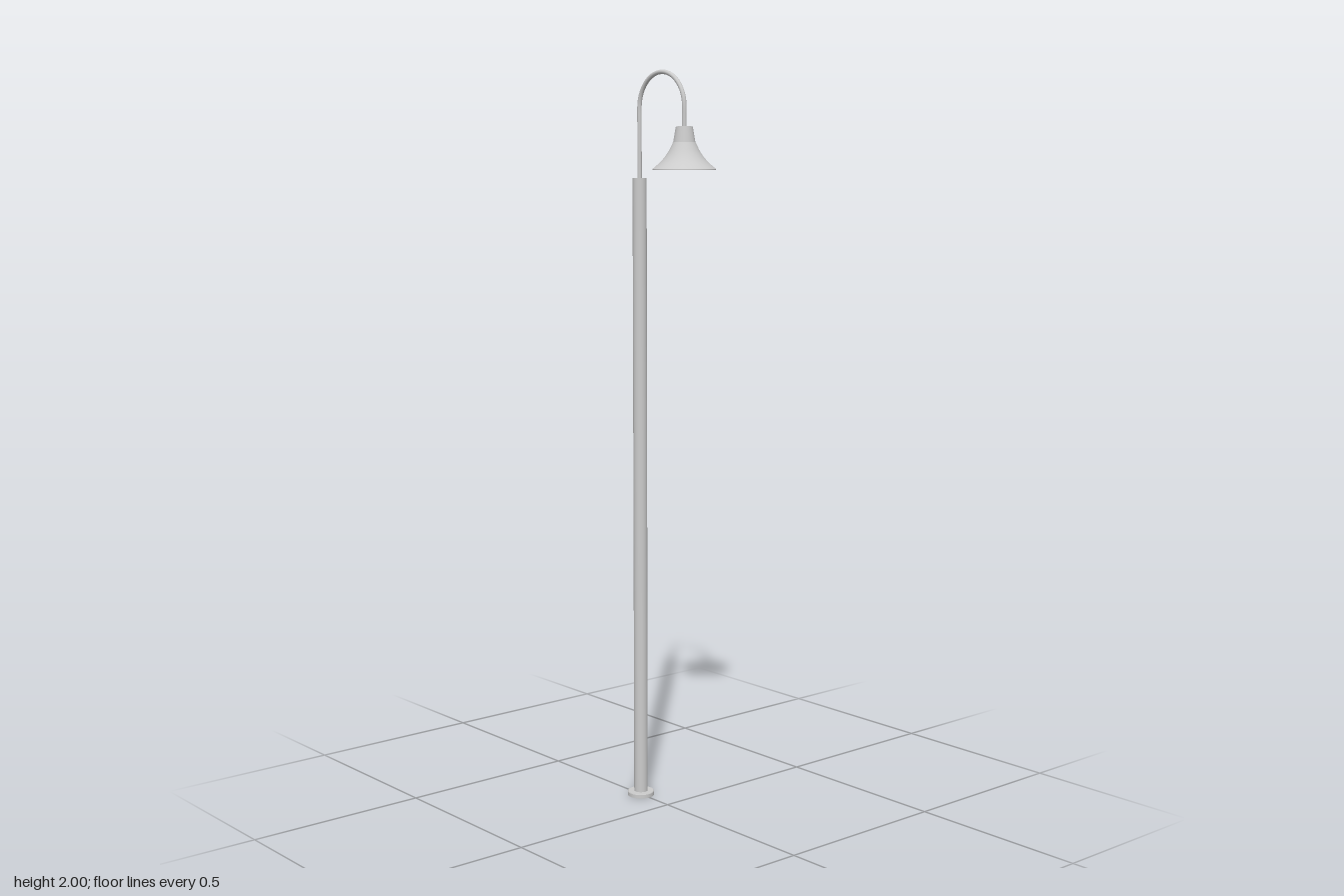
import * as THREE from 'three';

const POLE_X = -0.115, LAMP_X = 0.067, SEG = 32;

// Lathe from [radius, y] points; repeated points keep an edge crisp
function lathe(points) {
  return new THREE.LatheGeometry(points.map(([r, y]) => new THREE.Vector2(r, y)), SEG);
}

export function createModel() {
  const model = new THREE.Group();
  const solid = new THREE.MeshStandardMaterial({ color: 0xcccccc });
  const thin = new THREE.MeshStandardMaterial({ color: 0xcccccc, side: THREE.DoubleSide });

  function add(name, geometry, x, y, material = solid) {
    const mesh = new THREE.Mesh(geometry, material);
    mesh.name = name;
    mesh.position.set(x, y, 0);
    model.add(mesh);
    return mesh;
  }

  // Hollow foot flange and the pole standing in it
  add('baseFlange', lathe([
    [0.037, 0], [0.037, 0.01], [0.037, 0.01], [0.036, 0.012], [0.036, 0.012], [0.018, 0.012],
  ]), POLE_X, 0, thin);
  add('pole', new THREE.CylinderGeometry(0.019, 0.019, 1.716, SEG), POLE_X, 0.86);

  // Gooseneck arm: straight riser, half-round arch, short drop to the lamp
  const radius = (LAMP_X - POLE_X) / 2, midX = (LAMP_X + POLE_X) / 2, archY = 1.994 - radius;
  const path = [];
  for (let i = 0; i < 6; i++) path.push(new THREE.Vector3(POLE_X, 1.71 + (archY - 1.71) * i / 6, 0));
  for (let i = 0; i <= 16; i++) {
    const a = Math.PI * (1 - i / 16);
    path.push(new THREE.Vector3(midX + radius * Math.cos(a), archY + radius * Math.sin(a), 0));
  }
  path.push(new THREE.Vector3(LAMP_X, 1.875, 0), new THREE.Vector3(LAMP_X, 1.845, 0));
  add('gooseneckArm', new THREE.TubeGeometry(new THREE.CatmullRomCurve3(path), 80, 0.006, 12), 0, 0);

  // Open bell shade with a closed, slightly tapered neck
  add('lampShade', lathe([
    [0.083, 1.74], [0.083, 1.743], [0.083, 1.743], [0.066, 1.757], [0.052, 1.772], [0.04, 1.79],
    [0.029, 1.812], [0.029, 1.812], [0.022, 1.852], [0.022, 1.852], [0, 1.852],
  ]), LAMP_X, 0, thin);

  // Bulb and its socket inside the shade
  add('bulb', new THREE.SphereGeometry(0.022, 24, 16), LAMP_X, 1.775);
  add('bulbSocket', new THREE.CylinderGeometry(0.013, 0.013, 0.058, 20), LAMP_X, 1.82);

  return model;
}
